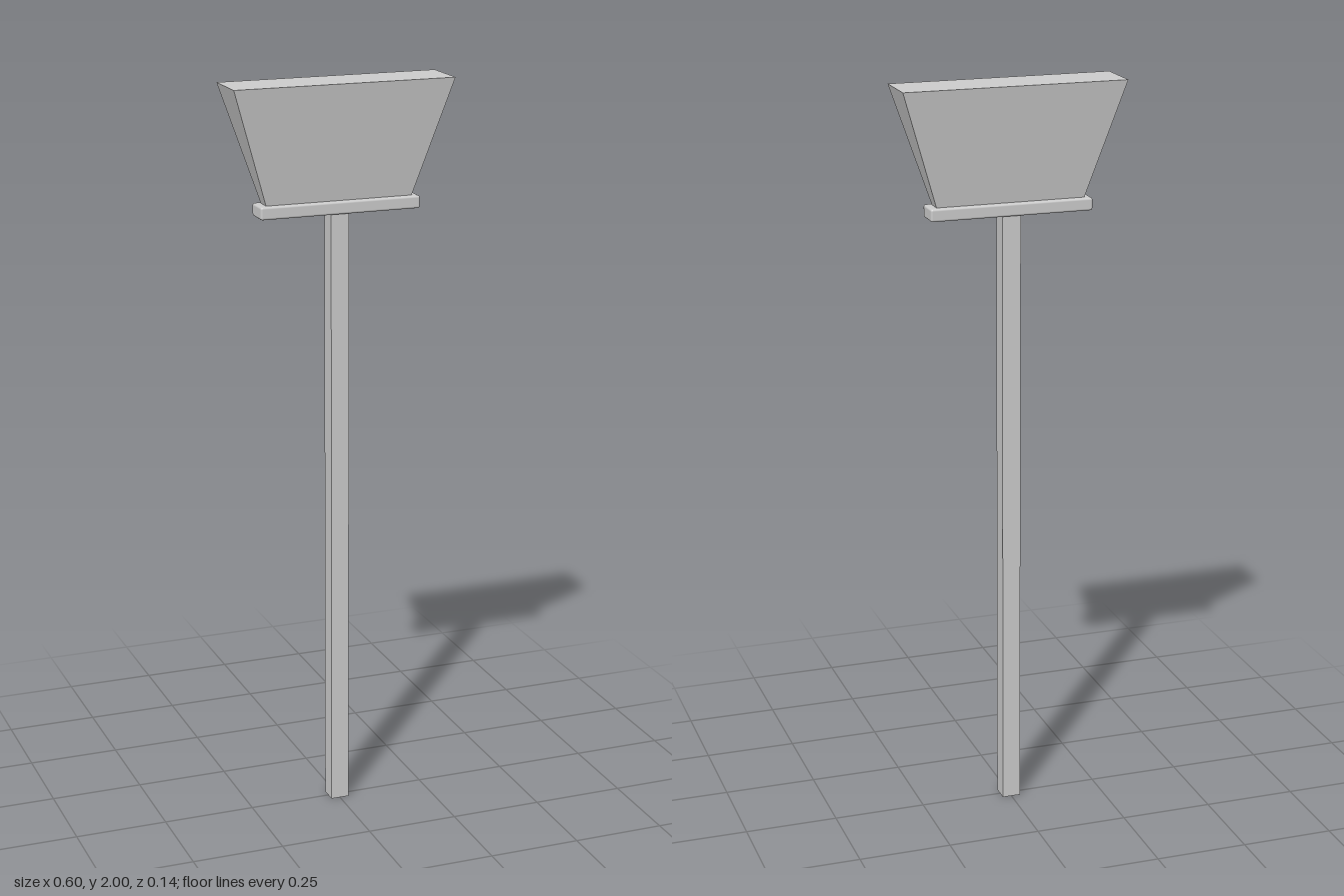
import * as THREE from 'three';
import { RoundedBoxGeometry } from 'three/addons/geometries/RoundedBoxGeometry.js';

export function createModel() {
  const group = new THREE.Group();
  const material = new THREE.MeshStandardMaterial({ color: 0xcccccc });
  const add = (name, geometry, y) => {
    const mesh = new THREE.Mesh(geometry, material);
    mesh.name = name;
    mesh.position.y = y;
    group.add(mesh);
  };

  // Square pole standing on the ground
  add('handle', new THREE.BoxGeometry(0.05, 1.665, 0.05), 0.8325);

  // Softly rounded bar that holds the bristles
  add('bristleHolder', new RoundedBoxGeometry(0.44, 0.034, 0.07, 2, 0.006), 1.674);

  // Bristle block, flaring toward the top in both width and depth
  const bottom = 1.688, top = 2;
  const bristles = new THREE.BoxGeometry(0.6, top - bottom, 0.138);
  const pos = bristles.attributes.position;
  for (let i = 0; i < pos.count; i++) {
    if (pos.getY(i) < 0) {
      pos.setX(i, Math.sign(pos.getX(i)) * 0.2);
      pos.setZ(i, Math.sign(pos.getZ(i)) * 0.02);
    }
  }
  bristles.computeVertexNormals();
  add('bristles', bristles, (top + bottom) / 2);

  return group;
}
